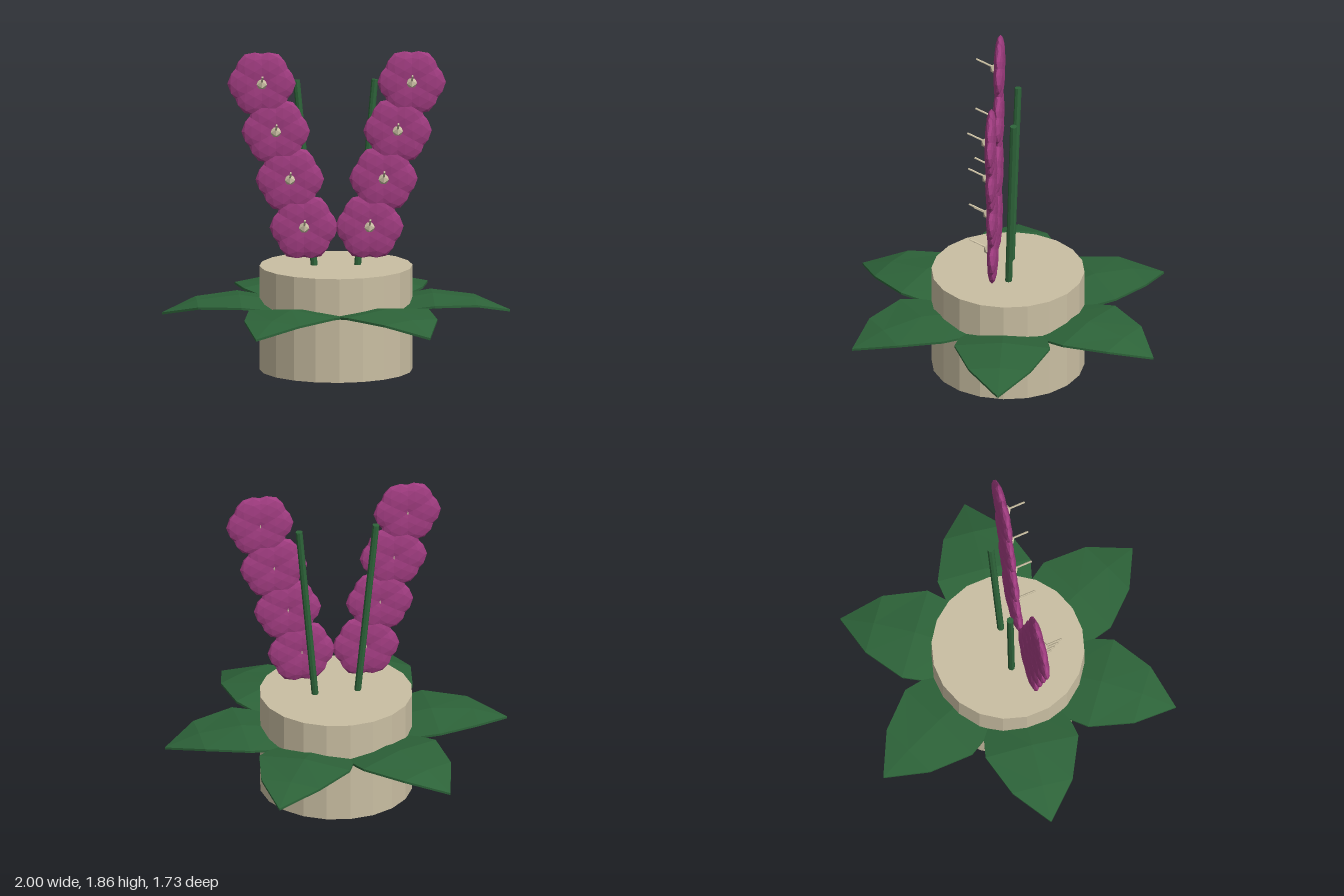
import * as THREE from 'three';

const mat = (name, color) => {
  const m = new THREE.MeshStandardMaterial({ color, flatShading: true });
  m.name = name;
  return m;
};

export function createModel() {
  const cream = mat('cream', 0xc9bea2);
  const green = mat('leaf green', 0x2d6339);
  const purple = mat('petal purple', 0xa03c80);

  const root = new THREE.Group();
  root.name = 'pottedFlower';
  const add = (parent, name, geometry, material, x = 0, y = 0, z = 0) => {
    const mesh = new THREE.Mesh(geometry, material);
    mesh.name = name;
    mesh.position.set(x, y, z);
    parent.add(mesh);
    return mesh;
  };
  // straight rod between two points
  const rod = (parent, name, a, b, radius, sides, material) => {
    const dir = b.clone().sub(a);
    const mesh = add(parent, name, new THREE.CylinderGeometry(radius, radius, dir.length(), sides), material);
    mesh.position.copy(a).add(b).multiplyScalar(0.5);
    mesh.quaternion.setFromUnitVectors(new THREE.Vector3(0, 1, 0), dir.normalize());
  };

  // pot
  add(root, 'pot', new THREE.CylinderGeometry(0.44, 0.44, 0.605, 20), cream, 0, 0.3025, 0);

  // leaves: sections of [radius, half width, midrib height, edge height]
  const leafGeo = leafGeometry([
    [0.3, 0.23, 0.4, 0.375],
    [0.555, 0.275, 0.438, 0.412],
    [0.8, 0.178, 0.41, 0.398],
    [1.0, 0.001, 0.338, 0.338],
  ], 0.013);
  for (let i = 0; i < 6; i++) {
    add(root, 'leaf', leafGeo, green).rotation.y = i * Math.PI / 3;
  }

  // flower spikes, left and right
  const petalGeo = new THREE.IcosahedronGeometry(0.112, 1);
  const centreGeo = new THREE.IcosahedronGeometry(0.035, 0);
  for (const side of [1, -1]) {
    rod(root, 'stem', new THREE.Vector3(side * 0.115, 0.5, -0.008),
      new THREE.Vector3(side * 0.225, 1.68, -0.045), 0.02, 8, green);

    for (let k = 0; k < 4; k++) {
      const flower = new THREE.Group();
      flower.name = 'flower';
      flower.position.set(side * (0.188 + k * 0.081), 0.843 + k * 0.28, 0.075);
      root.add(flower);
      // ring of flattened petals
      for (let p = 0; p < 6; p++) {
        const a = p * Math.PI / 3;
        const petal = add(flower, 'petal', petalGeo, purple, Math.cos(a) * 0.085, Math.sin(a) * 0.085, 0);
        petal.scale.z = 0.27;
        petal.rotation.z = a;
      }
      // centre and stamen
      add(flower, 'flowerCentre', centreGeo, cream, 0, 0, 0.015).scale.z = 1.2;
      rod(flower, 'stamen', new THREE.Vector3(0, 0.01, 0.03),
        new THREE.Vector3(0, 0.062, 0.133), 0.006, 6, cream);
    }
  }
  return root;
}

// thin folded blade along +x, closed loop of six points per section
function leafGeometry(sections, thickness) {
  const pos = [], index = [];
  for (const [r, w, mid, edge] of sections) {
    pos.push(r, edge, -w, r, mid, 0, r, edge, w);
    pos.push(r, edge - thickness, w, r, mid - thickness, 0, r, edge - thickness, -w);
  }
  for (let i = 0; i < sections.length - 1; i++) {
    for (let j = 0; j < 6; j++) {
      const a = i * 6 + j, b = i * 6 + (j + 1) % 6;
      index.push(a, b, a + 6, b, b + 6, a + 6);
    }
  }
  const geo = new THREE.BufferGeometry();
  geo.setAttribute('position', new THREE.Float32BufferAttribute(pos, 3));
  geo.setIndex(index);
  geo.computeVertexNormals();
  return geo;
}
